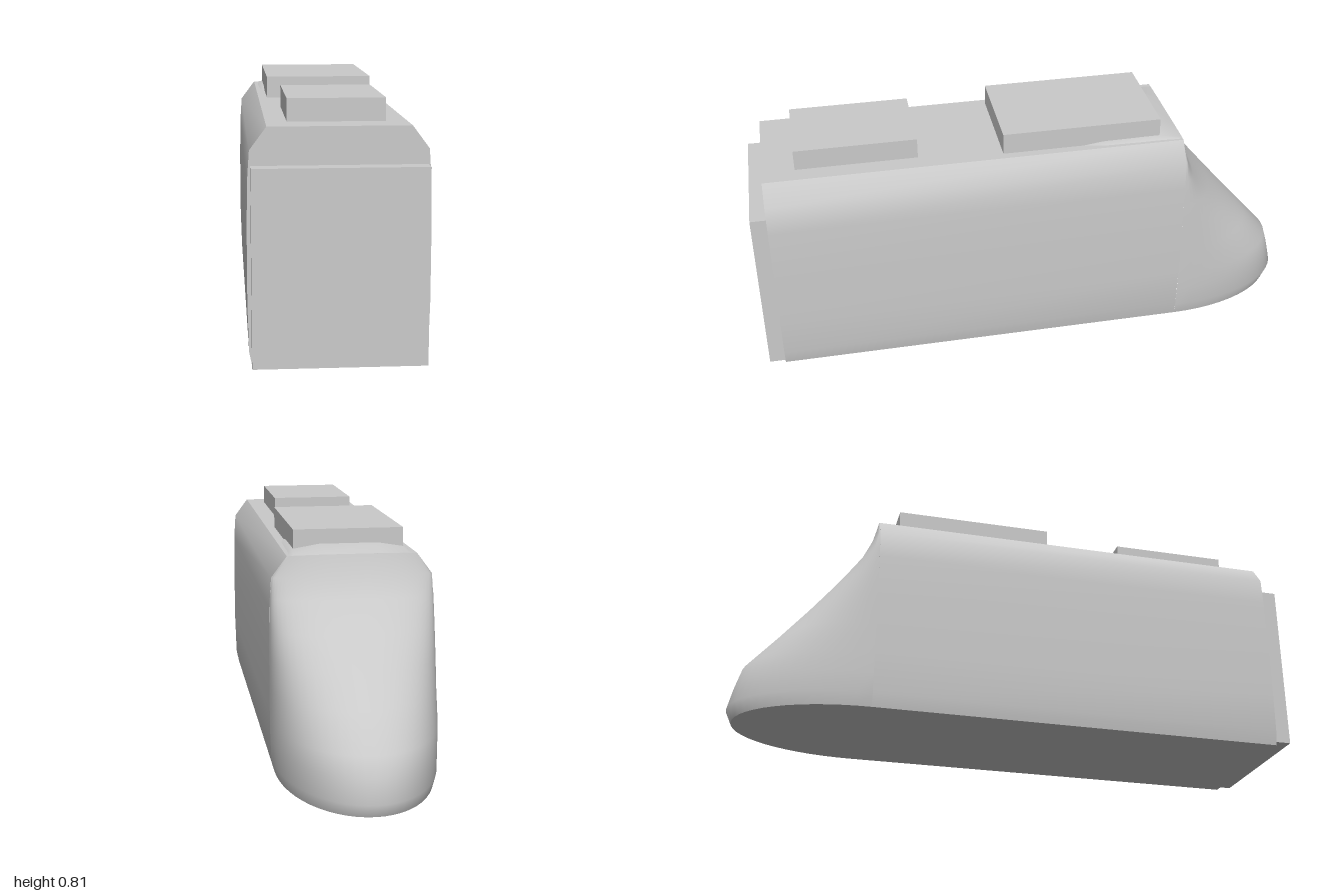
import * as THREE from 'three';
import { toCreasedNormals } from 'three/addons/utils/BufferGeometryUtils.js';

const shell = new THREE.MeshStandardMaterial({ color: 0xcacaca });
shell.name = 'grey shell';

// Surface through rows of equally many points
function loft(rows) {
  const n = rows[0].length, index = [];
  for (let i = 0; i < rows.length - 1; i++) {
    for (let j = 0; j < n - 1; j++) {
      const a = i * n + j, b = a + 1, c = a + n, d = c + 1;
      index.push(a, c, b, b, c, d);
    }
  }
  const g = new THREE.BufferGeometry();
  g.setAttribute('position', new THREE.Float32BufferAttribute(rows.flat(2), 3));
  g.setIndex(index);
  g.computeVertexNormals();
  return g;
}

export function createModel() {
  const model = new THREE.Group();
  model.name = 'trainEndCar';
  const add = (name, geometry) => {
    const mesh = new THREE.Mesh(geometry, shell);
    mesh.name = name;
    model.add(mesh);
    return mesh;
  };
  const box = (name, w, y0, y1, z0, z1) =>
    add(name, new THREE.BoxGeometry(w, y1 - y0, z1 - z0)).position.set(0, (y0 + y1) / 2, (z0 + z1) / 2);

  // Body: bulging walls with sloped shoulders
  const half = [[0.265, 0], [0.275, 0.05], [0.279, 0.2], [0.279, 0.4], [0.277, 0.57], [0.27, 0.67], [0.218, 0.74]];
  const outline = [...half, ...half.map(([x, y]) => [-x, y]).reverse()];
  const section = new THREE.Shape(outline.map(([x, y]) => new THREE.Vector2(x, y)));
  const body = new THREE.ExtrudeGeometry(section, { depth: 1.475, bevelEnabled: false });
  body.translate(0, 0, -0.53);
  add('body', toCreasedNormals(body, 0.78));

  // Nose: horizontal slices as [height, half width, depth, roundness]
  const slices = [
    [0, 0.265, 0.45, 2], [0.045, 0.275, 0.47, 2], [0.12, 0.278, 0.452, 2], [0.19, 0.279, 0.43, 2.05],
    [0.3, 0.279, 0.33, 2.1], [0.4, 0.279, 0.24, 2.2], [0.5, 0.278, 0.15, 2.35], [0.6, 0.275, 0.063, 2.5],
    [0.67, 0.268, 0.022, 2.6], [0.74, 0.218, 0, 2.6],
  ];
  const rows = slices.map(([y, w, d, e]) => {
    const row = [];
    for (let i = 0; i <= 28; i++) {
      const a = Math.PI * i / 28, c = -Math.cos(a), s = Math.max(0, Math.sin(a));
      row.push([Math.sign(c) * w * Math.abs(c) ** (2 / e), y, -0.53 - d * s ** (2 / e)]);
    }
    return row;
  });
  add('nose', loft(rows));
  const noseFloor = new THREE.ShapeGeometry(new THREE.Shape(rows[0].map(([x, , z]) => new THREE.Vector2(x, z))));
  noseFloor.rotateX(Math.PI / 2);
  add('noseFloor', noseFloor);

  // Low fairing that leads from the nose under the front roof unit
  const fairing = [[-0.53, 0.195, 0.741, 0.742], [-0.45, 0.19, 0.75, 0.765], [-0.38, 0.19, 0.75, 0.765],
    [-0.25, 0.188, 0.749, 0.755], [-0.13, 0.18, 0.739, 0.739]];
  add('roofFairing', loft(fairing.map(([z, w, edge, top]) => [
    [-w - 0.018, 0.738, z], [-w, edge, z], [-0.1, top, z], [0.1, top, z], [w, edge, z], [w + 0.018, 0.738, z],
  ])));

  // Roof units and the gangway plate on the coupling end
  box('frontRoofUnit', 0.374, 0.738, 0.815, -0.45, 0.115);
  box('rearRoofUnit', 0.304, 0.738, 0.812, 0.41, 0.833);
  box('gangway', 0.534, 0.012, 0.623, 0.94, 1);
  return model;
}
